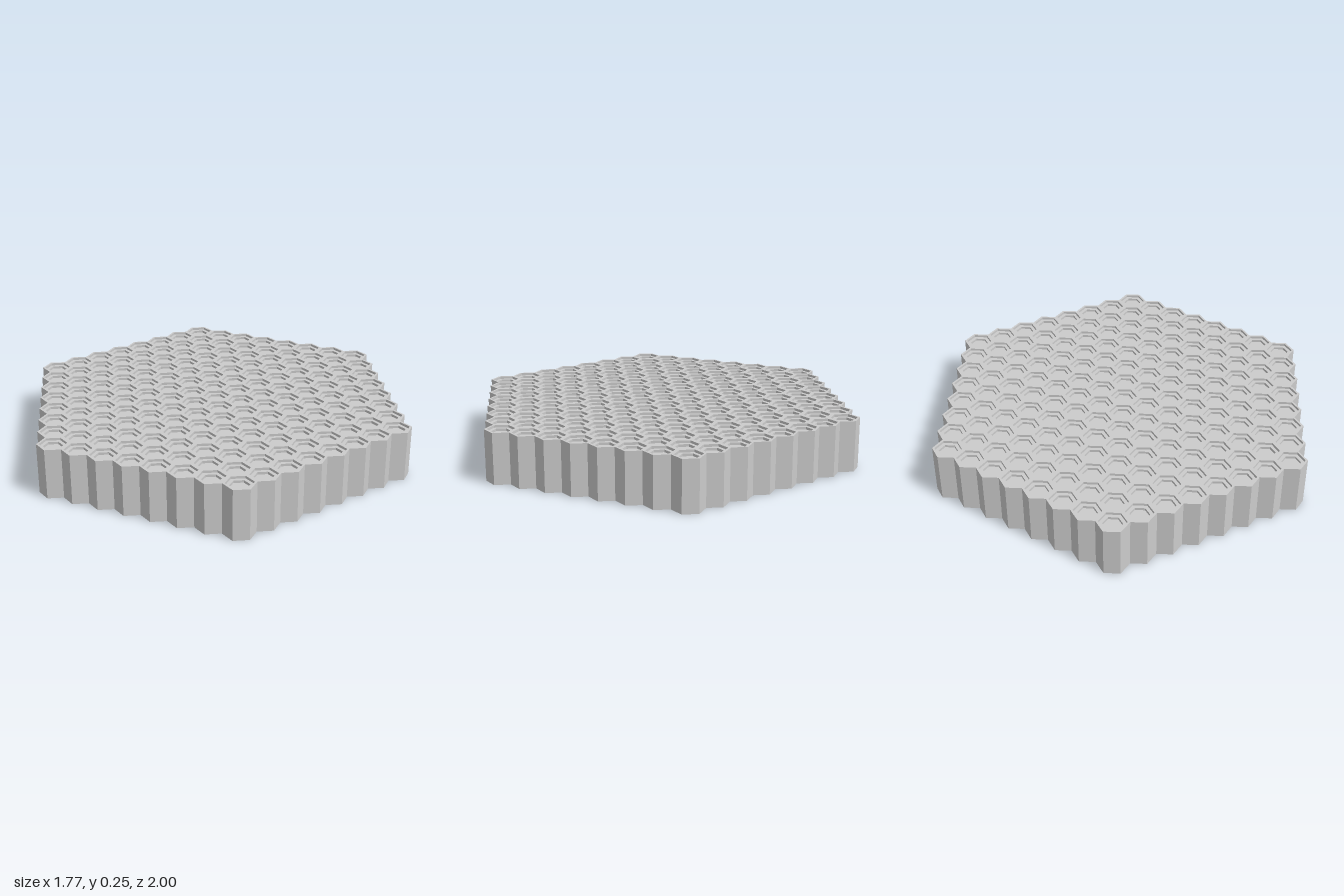
import * as THREE from 'three';
import { mergeGeometries } from 'three/addons/utils/BufferGeometryUtils.js';

const RINGS = 7;                       // rings of cells around the centre cell
const PITCH = 2 / (2 * RINGS + 1);     // distance between opposite flat sides
const R = PITCH / Math.sqrt(3);        // corner radius of a cell
const H = 0.25;
const STEP = 0.012;                    // depth of each step in a cell

// Axial offsets of the neighbours, turning in 60 degree steps from +z
const NEIGHBOURS = [[0, 1], [1, 0], [1, -1], [0, -1], [-1, 0], [-1, 1]];

const inside = (q, r) => Math.max(Math.abs(q), Math.abs(r), Math.abs(q + r)) <= RINGS;

// Six-sided surface turned from a profile, with corners on the x axis
function hexLathe(profile) {
  const points = profile.map(([x, y]) => new THREE.Vector2(x, y));
  return new THREE.LatheGeometry(points, 6, Math.PI / 2);
}

export function createModel() {
  const group = new THREE.Group();
  group.name = 'honeycombSlab';
  const material = new THREE.MeshStandardMaterial({ color: 0xcccccc, flatShading: true });

  // Cell top: rim, ledge and sunken floor
  const cellTop = hexLathe([
    [R, H], [R * 0.85, H], [R * 0.85, H - STEP],
    [R * 0.6, H - STEP], [R * 0.6, H - 2 * STEP], [0, H - 2 * STEP],
  ]);
  const cellBase = hexLathe([[0, 0], [R, 0]]);

  const tops = [], bases = [], walls = [];
  for (let q = -RINGS; q <= RINGS; q++) {
    for (let r = -RINGS; r <= RINGS; r++) {
      if (!inside(q, r)) continue;
      const x = 1.5 * R * q, z = PITCH * (r + q / 2);
      tops.push(cellTop.clone().translate(x, 0, z));
      bases.push(cellBase.clone().translate(x, 0, z));

      // Outer wall on each side without a neighbour
      NEIGHBOURS.forEach(([dq, dr], k) => {
        if (inside(q + dq, r + dr)) return;
        walls.push(new THREE.PlaneGeometry(R, H)
          .translate(0, H / 2, PITCH / 2)
          .rotateY(k * Math.PI / 3)
          .translate(x, 0, z));
      });
    }
  }

  const parts = { cellTops: tops, underside: bases, outerWall: walls };
  for (const [name, list] of Object.entries(parts)) {
    const mesh = new THREE.Mesh(mergeGeometries(list), material);
    mesh.name = name;
    group.add(mesh);
  }
  return group;
}
